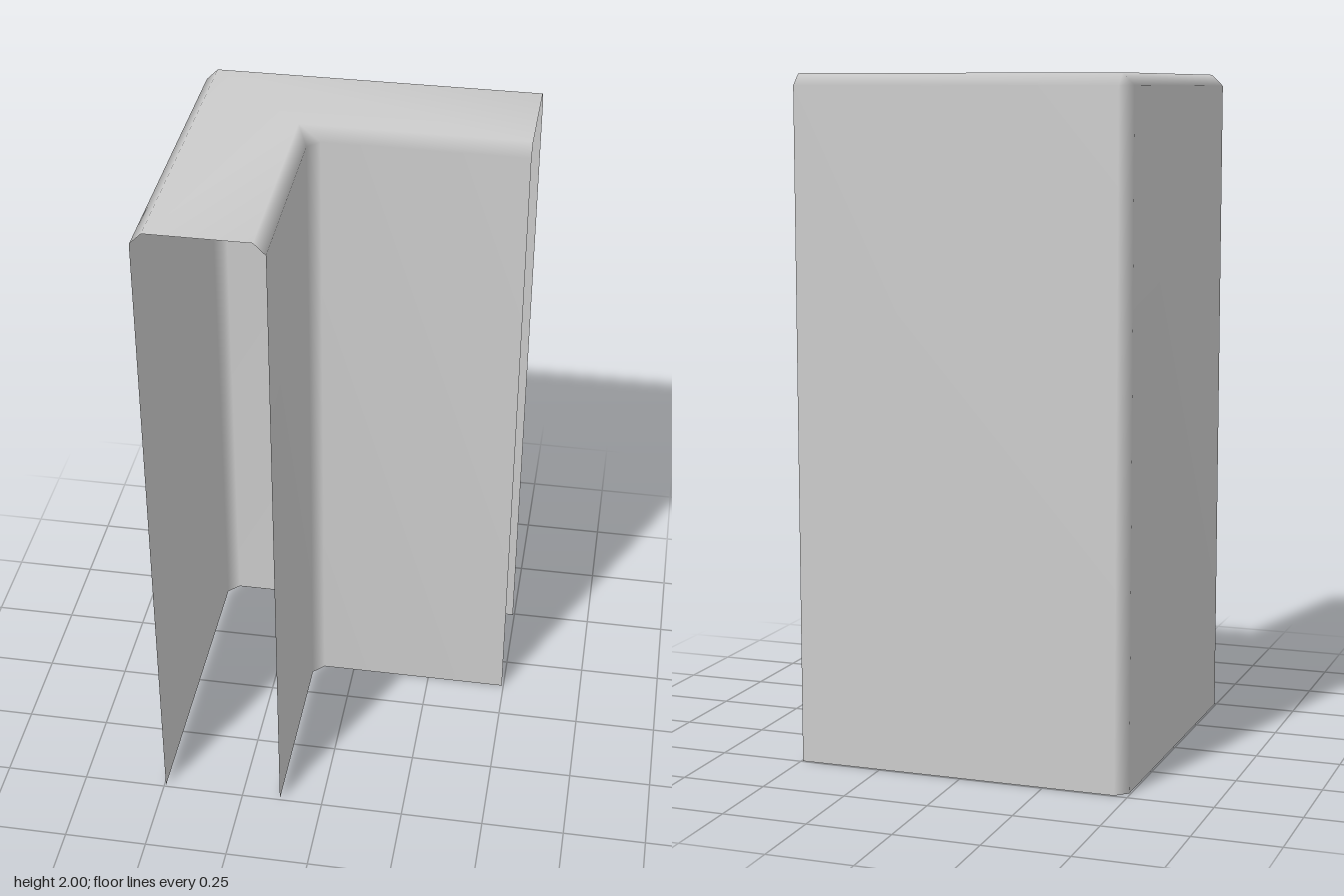
import * as THREE from 'three';
import { mergeVertices } from 'three/addons/utils/BufferGeometryUtils.js';

const HALF = 0.495;    // half of the footprint
const INNER = -0.132;  // plane of the inner walls
const BEVEL = 0.034;   // width of all bevels
const TOP = 2;

// Cross-section of the hollow wall, from the outer foot over the top to the inner foot.
// offset: wall plane, cut: where the corner bevel starts
const section = [
  { offset: -HALF, cut: -HALF + BEVEL, y: 0 },
  { offset: -HALF, cut: -HALF + BEVEL, y: TOP - BEVEL },
  { offset: -HALF + BEVEL, cut: -HALF + BEVEL, y: TOP },
  { offset: INNER - BEVEL, cut: INNER - BEVEL, y: TOP },
  { offset: INNER, cut: INNER + BEVEL, y: TOP - BEVEL },
  { offset: INNER, cut: INNER + BEVEL, y: 0 },
];

// Sweeps the section from the front end, around the bevelled corner, to the left end
function cornerShell() {
  const stations = [
    p => [p.offset, p.y, HALF],
    p => [p.offset, p.y, p.cut],
    p => [p.cut, p.y, p.offset],
    p => [HALF, p.y, p.offset],
  ];
  const positions = stations.flatMap(place => section.flatMap(place));
  const n = section.length;
  const index = [];
  for (let s = 0; s < stations.length - 1; s++) {
    for (let r = 0; r < n - 1; r++) {
      if (s === 1 && r === 2) continue; // the top mitre has no width
      const a = s * n + r, b = a + 1, c = a + n, d = c + 1;
      index.push(a, b, d, a, d, c);
    }
  }
  const geometry = new THREE.BufferGeometry();
  geometry.setAttribute('position', new THREE.Float32BufferAttribute(positions, 3));
  geometry.setIndex(index);
  const merged = mergeVertices(geometry);
  merged.computeVertexNormals();
  return merged;
}

export function createModel() {
  const group = new THREE.Group();
  group.name = 'wallCorner';
  // Thin shell, open at the foot and at both ends
  const material = new THREE.MeshStandardMaterial({ color: 0xcccccc, side: THREE.DoubleSide });
  const shell = new THREE.Mesh(cornerShell(), material);
  shell.name = 'cornerWallShell';
  group.add(shell);
  return group;
}
